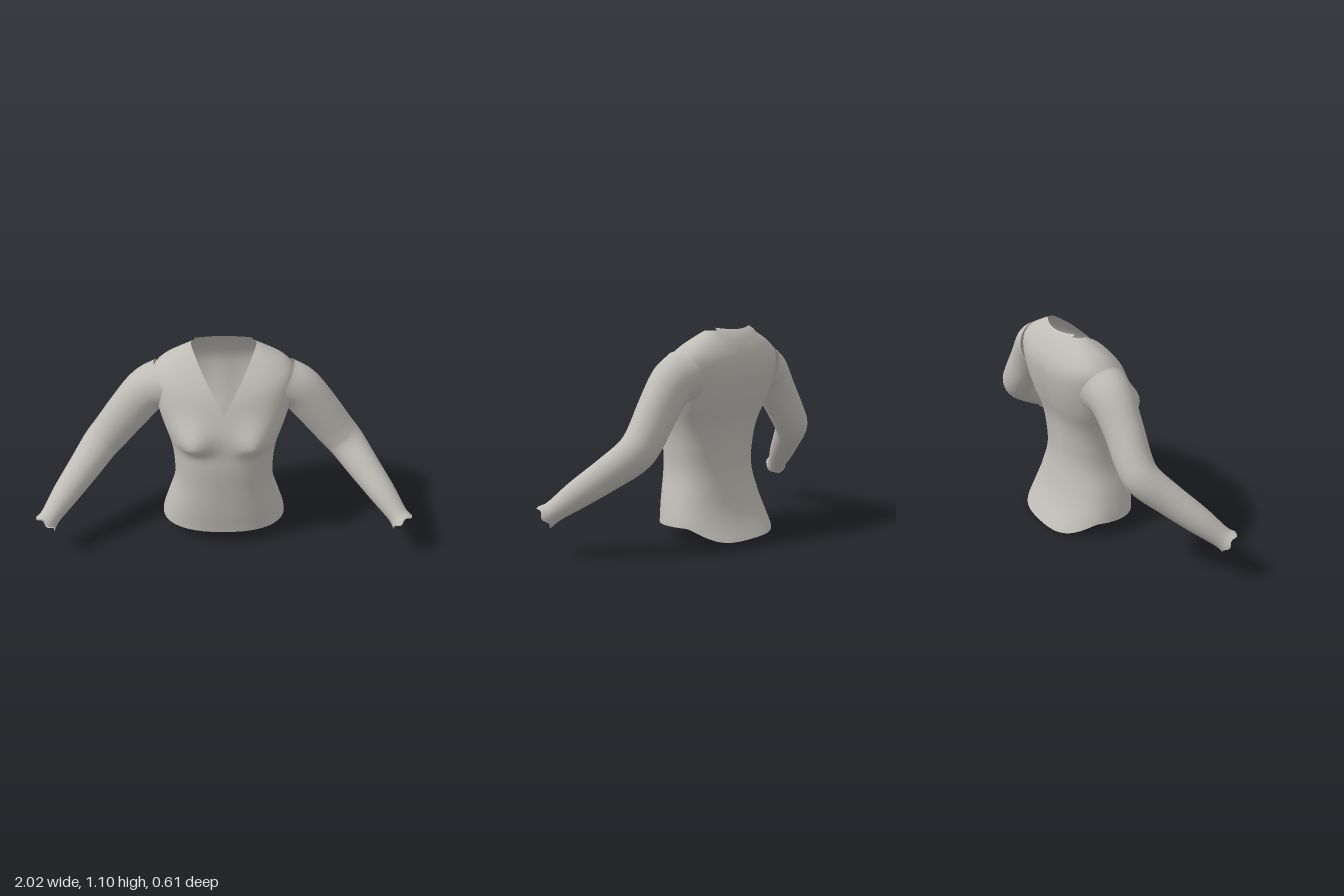
import * as THREE from 'three';

const cloth = new THREE.MeshStandardMaterial({ color: 0xc0bcb6, side: THREE.DoubleSide });
cloth.name = 'grey cloth';

// Torso sections: height, half width, front z, back z, z of the widest point
const SECTIONS = [
  [0, 0.345, 0.18, -0.31, -0.05],
  [0.1, 0.332, 0.183, -0.25, -0.04],
  [0.2, 0.305, 0.19, -0.213, -0.02],
  [0.35, 0.265, 0.195, -0.187, 0],
  [0.5, 0.268, 0.198, -0.195, -0.01],
  [0.6, 0.288, 0.19, -0.212, -0.03],
  [0.7, 0.325, 0.185, -0.245, -0.06],
  [0.8, 0.355, 0.15, -0.27, -0.08],
  [0.9, 0.37, 0.105, -0.282, -0.1],
  [0.96, 0.365, 0.06, -0.272, -0.11],
  [1.01, 0.32, 0.01, -0.25, -0.115],
  [1.05, 0.25, -0.035, -0.225, -0.12],
  [1.09, 0.17, -0.09, -0.195, -0.125],
];

// Sleeve sections: centre x, y, z, then radius across and radius front to back
const SLEEVE = [
  [0.31, 0.87, -0.1, 0.135, 0.13],
  [0.4, 0.83, -0.095, 0.122, 0.112],
  [0.5, 0.71, -0.09, 0.115, 0.097],
  [0.6, 0.575, -0.09, 0.106, 0.092],
  [0.665, 0.5, -0.07, 0.1, 0.09],
  [0.75, 0.41, 0.02, 0.088, 0.08],
  [0.85, 0.31, 0.13, 0.072, 0.07],
  [0.925, 0.23, 0.215, 0.055, 0.055],
  [0.955, 0.2, 0.25, 0.062, 0.06],
];
const sleevePath = new THREE.CatmullRomCurve3(
  SLEEVE.map(s => new THREE.Vector3(s[0], s[1], s[2])), false, 'catmullrom');
const sleeveSize = new THREE.CatmullRomCurve3(
  SLEEVE.map(s => new THREE.Vector3(s[3], s[4], 0)), false, 'catmullrom');

// Smooth interpolation of the torso sections at height y
function sectionAt(y) {
  const n = SECTIONS.length;
  let i = 0;
  while (i < n - 2 && y > SECTIONS[i + 1][0]) i++;
  const a = SECTIONS[i], b = SECTIONS[i + 1];
  const p = SECTIONS[Math.max(i - 1, 0)], q = SECTIONS[Math.min(i + 2, n - 1)];
  const h = b[0] - a[0], t = (y - a[0]) / h, t2 = t * t, t3 = t2 * t;
  return [1, 2, 3, 4].map(k => {
    const ma = (b[k] - p[k]) / (b[0] - p[0]) * h;
    const mb = (q[k] - a[k]) / (q[0] - a[0]) * h;
    return (2 * t3 - 3 * t2 + 1) * a[k] + (t3 - 2 * t2 + t) * ma
      + (3 * t2 - 2 * t3) * b[k] + (t3 - t2) * mb;
  });
}

const power = v => Math.sign(v) * Math.abs(v) ** 0.85;
const bell = (d, w) => Math.exp(-((d / w) ** 2));

// Point on the torso; the angle starts at the front and turns towards +x
function torsoPoint(angle, y) {
  const [w, front, back, mid] = sectionAt(y);
  const c = Math.cos(angle);
  const x = w * power(Math.sin(angle));
  let z = mid + (c > 0 ? front - mid : mid - back) * power(c);
  if (c > 0) {
    // bust
    z += 0.055 * bell(Math.abs(x) - 0.165, 0.09) * bell(y - 0.65, y > 0.65 ? 0.11 : 0.055)
      * Math.min(1, c * 3);
  } else {
    // hollow along the spine
    z += 0.012 * bell(x, 0.06) * bell(y - 0.65, 0.3);
  }
  return new THREE.Vector3(x, y, z);
}

// Hem drops at the back
const hemHeight = angle =>
  0.08 * (1 - THREE.MathUtils.smoothstep(-Math.cos(angle), 0.25, 0.98));

// Upper edge of a torso column: the V neckline in front, level elsewhere
function topHeight(angle) {
  const cut = y => y > 0.82 + 1.6 * Math.abs(torsoPoint(angle, y).x);
  if (Math.cos(angle) <= 0 || !cut(1.09)) return 1.09;
  let lo = 0.75, hi = 1.09;
  for (let i = 0; i < 24; i++) {
    const m = (lo + hi) / 2;
    if (cut(m)) hi = m; else lo = m;
  }
  return lo;
}

// Skin a grid of rings, closed around each ring unless open
function skin(name, rings, keep = () => true, open = false) {
  const cols = rings[0].length, index = [];
  const points = rings.flat();
  for (let r = 0; r < rings.length - 1; r++) {
    for (let c = 0; c < (open ? cols - 1 : cols); c++) {
      const a = r * cols + c, b = r * cols + (c + 1) % cols;
      for (const tri of [[a, b, b + cols], [a, b + cols, a + cols]]) {
        const centre = new THREE.Vector3();
        tri.forEach(i => centre.addScaledVector(points[i], 1 / 3));
        if (keep(centre)) index.push(...tri);
      }
    }
  }
  const g = new THREE.BufferGeometry().setFromPoints(points);
  g.setIndex(index);
  g.computeVertexNormals();
  const mesh = new THREE.Mesh(g, cloth);
  mesh.name = name;
  return mesh;
}

function makeTorso() {
  const rows = 64, cols = 112;
  const columns = Array.from({ length: cols }, (_, c) => {
    const angle = c / cols * Math.PI * 2;
    return { angle, low: hemHeight(angle), high: topHeight(angle) };
  });
  const rings = Array.from({ length: rows + 1 }, (_, r) => {
    const v = 1 - (1 - r / rows) ** 1.5;
    return columns.map(k => torsoPoint(k.angle, k.low + (k.high - k.low) * v));
  });
  // leave armholes open inside the sleeves
  const path = sleevePath.getPoints(60).slice(0, 24);
  const keep = p => {
    const q = new THREE.Vector3(Math.abs(p.x), p.y, p.z);
    return path.every(s => s.distanceTo(q) > 0.092);
  };
  return skin('torso', rings, keep);
}

function makeSleeve(name, side) {
  const rows = 48, cols = 28;
  const rings = Array.from({ length: rows + 1 }, (_, r) => {
    const t = r / rows;
    const centre = sleevePath.getPoint(t), size = sleeveSize.getPoint(t);
    const along = sleevePath.getTangent(t);
    centre.x *= side;
    along.x *= side;
    const depth = new THREE.Vector3(0, 0, 1).addScaledVector(along, -along.z).normalize();
    const across = depth.clone().cross(along);
    return Array.from({ length: cols }, (_, c) => {
      const a = c / cols * Math.PI * 2;
      const p = centre.clone()
        .addScaledVector(across, size.x * Math.cos(a))
        .addScaledVector(depth, size.y * Math.sin(a));
      // slightly uneven cuff edge
      if (r === rows) p.addScaledVector(along, 0.008 * Math.sin(a * 5));
      return p;
    });
  });
  return skin(name, rings);
}

// Narrow turned-down collar behind the neck
function makeCollar() {
  const rings = [[1.045, -0.242, 0.16], [1.075, -0.222, 0.15], [1.092, -0.195, 0.14]].map(([y, z, w]) =>
    Array.from({ length: 17 }, (_, i) => {
      const s = 1 - i / 8;
      return new THREE.Vector3(w * s, y + 0.012 * s * s, z + 0.035 * s * s);
    }));
  return skin('backCollar', rings, undefined, true);
}

export function createModel() {
  const group = new THREE.Group();
  group.name = 'shirt';
  group.add(makeTorso(), makeSleeve('leftSleeve', 1), makeSleeve('rightSleeve', -1), makeCollar());
  return group;
}
